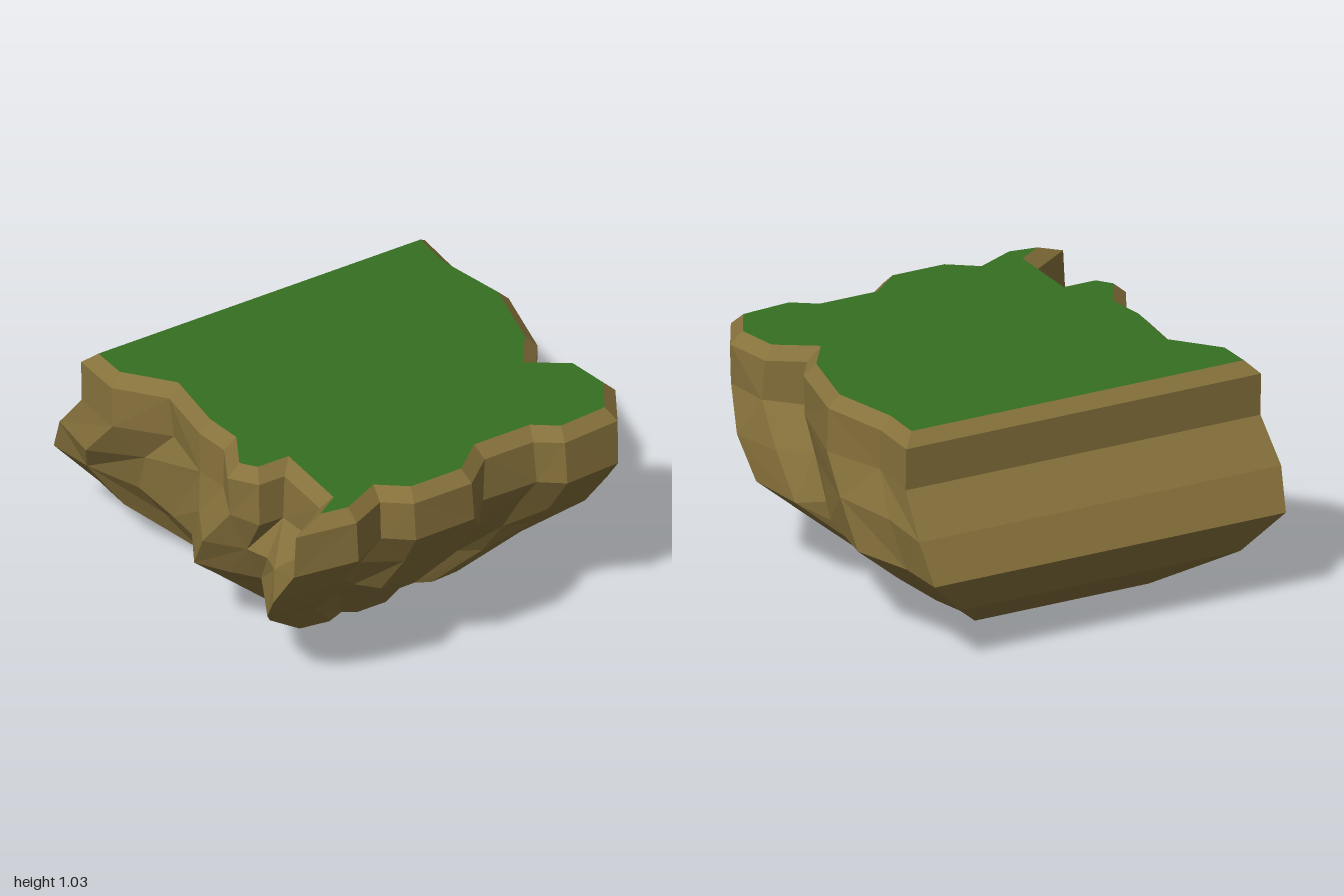
import * as THREE from 'three';

// Plateau outline (x, z): back left, back right, then round the front to the left side
const OUTLINE = [
  [-0.87, -0.7], [0.8, -0.7], [0.79, -0.5], [0.86, -0.17], [0.77, 0.19],
  [0.65, 0.36], [0.83, 0.48], [0.86, 0.68], [0.76, 0.85], [0.52, 0.87],
  [0.41, 0.79], [0.12, 0.79], [-0.03, 0.92], [-0.29, 0.92], [-0.42, 0.82],
  [-0.61, 0.91], [-0.74, 0.89], [-0.62, 0.81], [-0.61, 0.43], [-0.77, 0.43],
  [-0.82, 0.36], [-0.72, 0.18], [-0.74, 0], [-0.7, -0.32], [-0.87, -0.53],
].map(([x, z]) => new THREE.Vector2(x, z));
const COUNT = OUTLINE.length;
const LEDGE = [17, 18]; // gully points that fill out into a ledge lower down

// Rock levels: height, width scale, x shift, back z, front z, gully fill, roughness
const LEVELS = [
  [0.78, 1.0, 0, -0.75, 0.985, 0, 0.015],
  [0.59, 1.02, 0, -0.9, 0.86, 0.25, 0.025],
  [0.405, 0.99, 0, -0.99, 0.72, 0.3, 0.025],
  [0.22, 0.79, -0.02, -0.88, 0.5, 0.25, 0.015],
  [0, 0.49, -0.03, -0.54, 0.32, 0.2, 0],
];

function seeded(seed) {
  return () => {
    seed = (seed * 16807) % 2147483647;
    return (seed / 2147483647) * 2 - 1;
  };
}

const around = (pts, i) => [pts[(i + COUNT - 1) % COUNT], pts[i], pts[(i + 1) % COUNT]];

// Push the outline outward with mitred corners
function offset(pts, d) {
  return pts.map((_, i) => {
    const [a, b, c] = around(pts, i);
    const u = b.clone().sub(a).normalize();
    const v = c.clone().sub(b).normalize();
    const n1 = new THREE.Vector2(u.y, -u.x);
    const n2 = new THREE.Vector2(v.y, -v.x);
    return n1.add(n2).multiplyScalar(d / (1 + u.dot(v))).add(b);
  });
}

// Move inward-pointing corners towards the line between their neighbours
function fillGullies(pts, amount) {
  return pts.map((_, i) => {
    const [a, b, c] = around(pts, i);
    const concave = b.clone().sub(a).cross(c.clone().sub(b)) < 0;
    if (!concave || amount === 0) return b.clone();
    const mid = a.clone().add(c).multiplyScalar(0.5);
    return b.clone().lerp(mid, LEDGE.includes(i) ? 0.85 : amount);
  });
}

const lift = (pts, y) => pts.map((p) => new THREE.Vector3(p.x, y, p.y));

function geometryFrom(points, index) {
  const geometry = new THREE.BufferGeometry().setFromPoints(points);
  geometry.setIndex(index);
  const flat = geometry.toNonIndexed();
  flat.computeVertexNormals();
  return flat;
}

// Flat cap over one ring, facing up or down
function cap(ring, up) {
  const flat = ring.map((p) => new THREE.Vector2(p.x, p.z));
  const index = [];
  for (const [a, b, c] of THREE.ShapeUtils.triangulateShape(flat, [])) {
    const turn = flat[b].clone().sub(flat[a]).cross(flat[c].clone().sub(flat[a]));
    index.push(...((turn < 0) === up ? [a, b, c] : [a, c, b]));
  }
  return geometryFrom(ring, index);
}

// Wall of facets through a list of rings, top to bottom
function wall(rings) {
  const index = [];
  for (let r = 0; r < rings.length - 1; r++) {
    for (let i = 0; i < COUNT; i++) {
      const j = (i + 1) % COUNT;
      const [u, v] = [r * COUNT + i, r * COUNT + j];
      const [a, b] = [u + COUNT, v + COUNT];
      if ((i + r) % 2 && i > 0) index.push(a, u, b, u, v, b);
      else index.push(a, u, v, a, v, b);
    }
  }
  return geometryFrom(rings.flat(), index);
}

export function createModel() {
  const grass = new THREE.MeshStandardMaterial({ color: 0x366f23 });
  const rock = new THREE.MeshStandardMaterial({ color: 0x87723c });
  grass.name = 'grass green';
  rock.name = 'rock brown';
  rock.flatShading = true;

  const rand = seeded(4217);
  const rim = offset(OUTLINE, 0.055);
  const zMin = Math.min(...rim.map((p) => p.y));
  const zMax = Math.max(...rim.map((p) => p.y));

  const top = lift(OUTLINE, 1.03);
  const edge = lift(rim, 0.975);
  const body = LEVELS.map(([y, scale, shift, back, front, fill, rough]) =>
    fillGullies(rim, fill).map((p, i) => {
      const k = i < 2 ? 0 : rough; // the back wall stays straight
      const t = (p.y - zMin) / (zMax - zMin);
      return new THREE.Vector3(
        p.x * scale + shift + rand() * k,
        y + rand() * k,
        back + (front - back) * t + rand() * k * 0.6,
      );
    }));

  const model = new THREE.Group();
  model.name = 'cliffIsland';
  const add = (name, geometry, material) => {
    const mesh = new THREE.Mesh(geometry, material);
    mesh.name = name;
    model.add(mesh);
  };
  add('grassTop', cap(top, true), grass);
  add('bevelledRim', wall([top, edge]), rock);
  add('rockBody', wall([edge, ...body]), rock);
  add('rockBase', cap(body[body.length - 1], false), rock);
  return model;
}
